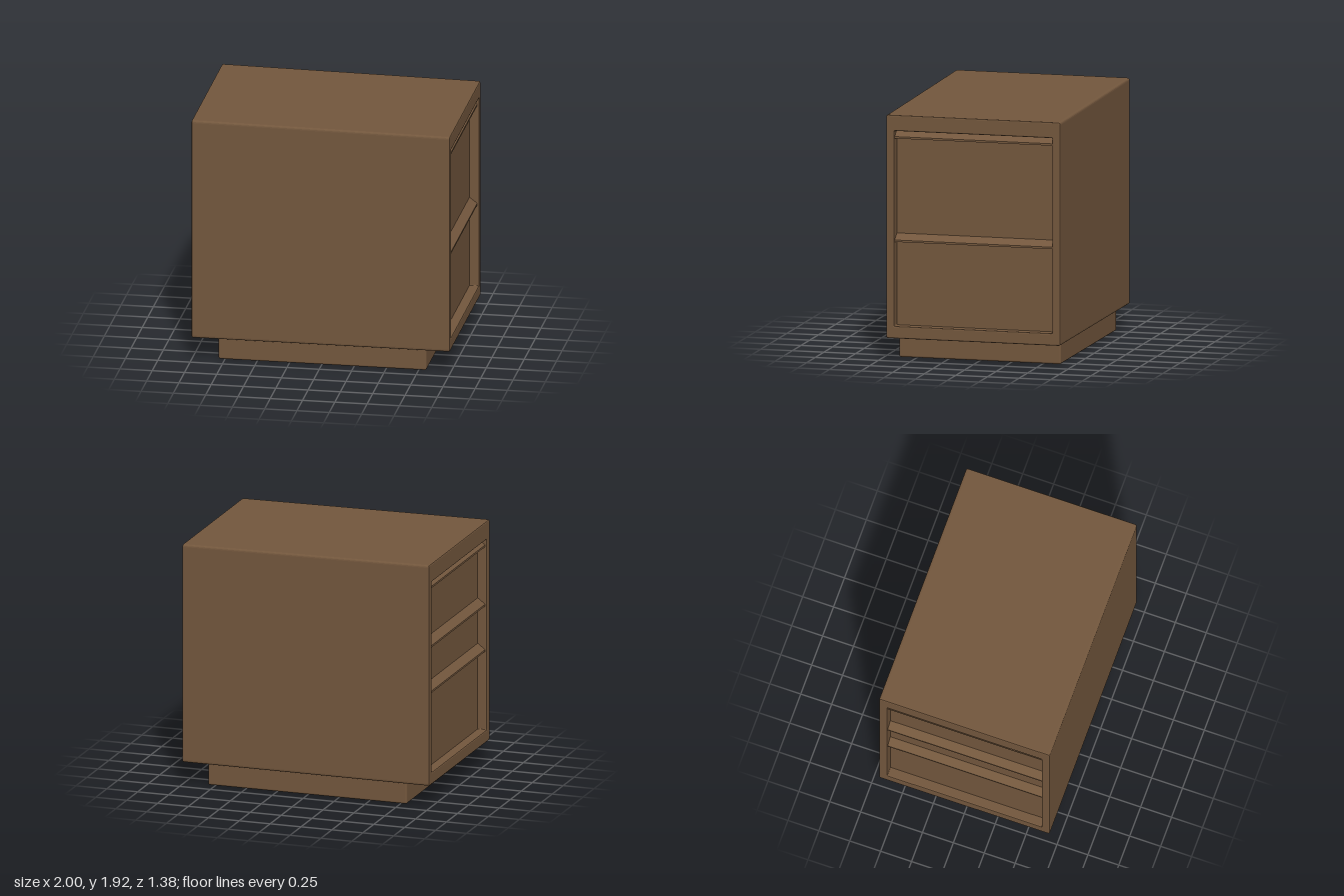
import * as THREE from 'three';
import { RoundedBoxGeometry } from 'three/addons/geometries/RoundedBoxGeometry.js';

const wood = new THREE.MeshStandardMaterial({ color: 0x73573d });
wood.name = 'brown wood';

const OPEN = { width: 1.25, bottom: 0.27, top: 1.78 }; // opening at each end
const RECESS = 0.925;                                  // distance of drawer fronts from the centre
const LIP = 0.06;                                      // height and reach of a pull lip

function add(parent, name, geometry, x = 0, y = 0, z = 0) {
  const mesh = new THREE.Mesh(geometry, wood);
  mesh.name = name;
  mesh.position.set(x, y, z);
  parent.add(mesh);
  return mesh;
}

// Rounded rectangle outline, centred on x, between two heights
function outline(target, width, bottom, top, r) {
  const w = width / 2;
  target.moveTo(-w + r, bottom);
  target.lineTo(w - r, bottom);
  target.quadraticCurveTo(w, bottom, w, bottom + r);
  target.lineTo(w, top - r);
  target.quadraticCurveTo(w, top, w - r, top);
  target.lineTo(-w + r, top);
  target.quadraticCurveTo(-w, top, -w, top - r);
  target.lineTo(-w, bottom + r);
  target.quadraticCurveTo(-w, bottom, -w + r, bottom);
  return target;
}

// Open-ended case running along x, its top falling slightly towards +x
function caseGeometry() {
  const shape = outline(new THREE.Shape(), 1.38, 0.175, 1.925, 0.02);
  shape.holes.push(outline(new THREE.Path(), OPEN.width, OPEN.bottom, OPEN.top, 0.008));
  const bevel = 0.01;
  const geometry = new THREE.ExtrudeGeometry(shape, {
    depth: 2 - 2 * bevel, bevelEnabled: true, bevelThickness: bevel,
    bevelSize: bevel, bevelOffset: -bevel, bevelSegments: 2, curveSegments: 4,
  });
  geometry.translate(0, 0, -1 + bevel).rotateY(Math.PI / 2);
  const p = geometry.attributes.position;
  for (let i = 0; i < p.count; i++) {
    if (p.getY(i) > 1.85) p.setY(i, p.getY(i) - 0.011 * (p.getX(i) + 1));
  }
  geometry.computeVertexNormals();
  return geometry;
}

// Sloping pull lip: joins the front at its top, juts out at its foot
function lipGeometry() {
  const profile = new THREE.Shape();
  profile.moveTo(0, -LIP);
  profile.lineTo(LIP, -LIP);
  profile.lineTo(LIP, -LIP + 0.015);
  profile.lineTo(0, 0);
  profile.closePath();
  return new THREE.ExtrudeGeometry(profile, { depth: OPEN.width, bevelEnabled: false })
    .translate(0, 0, -OPEN.width / 2);
}

// One end of drawers; tops lists the upper edge of each drawer
function drawerEnd(name, tops) {
  const end = new THREE.Group();
  end.name = name;
  tops.forEach((top, i) => {
    const bottom = tops[i + 1] ?? OPEN.bottom;
    const front = new THREE.BoxGeometry(0.05, top - bottom, OPEN.width);
    add(end, 'drawerFront', front, RECESS - 0.025, (top + bottom) / 2);
    add(end, 'drawerLip', lipGeometry(), RECESS, top);
  });
  return end;
}

export function createModel() {
  const model = new THREE.Group();
  model.name = 'drawerCabinet';

  add(model, 'cabinetCase', caseGeometry());
  add(model, 'plinth', new RoundedBoxGeometry(1.61, 0.2, 1.28, 2, 0.015), 0.005, 0.1);

  // Two drawers at one end, three at the other
  model.add(drawerEnd('twoDrawerEnd', [OPEN.top, 0.98]));
  const opposite = drawerEnd('threeDrawerEnd', [OPEN.top, 1.31, 0.95]);
  opposite.rotation.y = Math.PI;
  model.add(opposite);

  return model;
}
